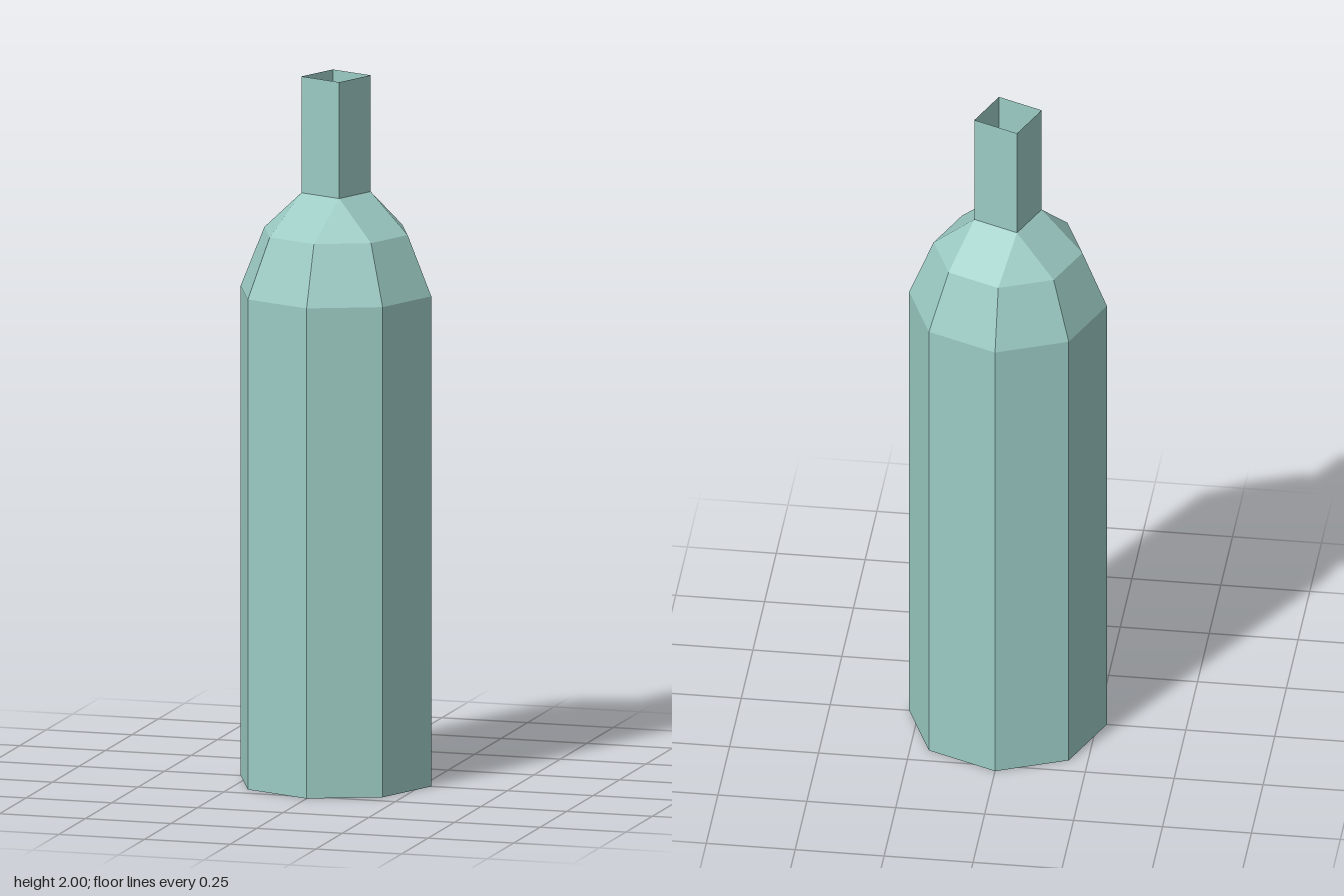
import * as THREE from 'three';

const BODY_R = 0.278, SHOULDER_R = 0.209, NECK_R = 0.097;
const BODY_Y = 1.39, SHOULDER_Y = 1.56, NECK_Y = 1.67, TOP_Y = 2;

const glass = new THREE.MeshStandardMaterial({
  color: 0x9ccbc4, flatShading: true, side: THREE.DoubleSide,
});

// Open prism or frustum between two heights
function tube(name, rBottom, rTop, y0, y1, sides, turn = 0) {
  const geometry = new THREE.CylinderGeometry(rTop, rBottom, y1 - y0, sides, 1, true, turn);
  const mesh = new THREE.Mesh(geometry, glass);
  mesh.position.y = (y0 + y1) / 2;
  mesh.name = name;
  return mesh;
}

// Collar that joins the eight-sided shoulder to the four-sided neck
function collarGeometry() {
  const ring = (r, y, angle) => [r * Math.sin(angle), y, r * Math.cos(angle)];
  const low = (i) => ring(SHOULDER_R, SHOULDER_Y, i * Math.PI / 4);
  const high = (k) => ring(NECK_R, NECK_Y, Math.PI / 8 + k * Math.PI / 2);
  const points = [];
  for (let k = 0; k < 4; k++) {
    const a = low(2 * k), b = low(2 * k + 1), c = low(2 * k + 2);
    const d = high(k), e = high(k + 1);
    // one triangle under each neck corner, one quad under each neck side
    points.push(...a, ...b, ...d, ...b, ...c, ...e, ...b, ...e, ...d);
  }
  const geometry = new THREE.BufferGeometry();
  geometry.setAttribute('position', new THREE.Float32BufferAttribute(points, 3));
  geometry.computeVertexNormals();
  return geometry;
}

export function createModel() {
  const bottle = new THREE.Group();
  bottle.name = 'bottle';

  bottle.add(tube('body', BODY_R, BODY_R, 0, BODY_Y, 8));
  bottle.add(tube('shoulder', BODY_R, SHOULDER_R, BODY_Y, SHOULDER_Y, 8));

  const collar = new THREE.Mesh(collarGeometry(), glass);
  collar.name = 'collar';
  bottle.add(collar);

  // Hollow neck, open at the top
  bottle.add(tube('neck', NECK_R, NECK_R, NECK_Y, TOP_Y, 4, Math.PI / 8));

  // Flat bottom
  const base = new THREE.Mesh(new THREE.CircleGeometry(BODY_R, 8), glass);
  base.rotation.x = Math.PI / 2;
  base.name = 'base';
  bottle.add(base);

  return bottle;
}
